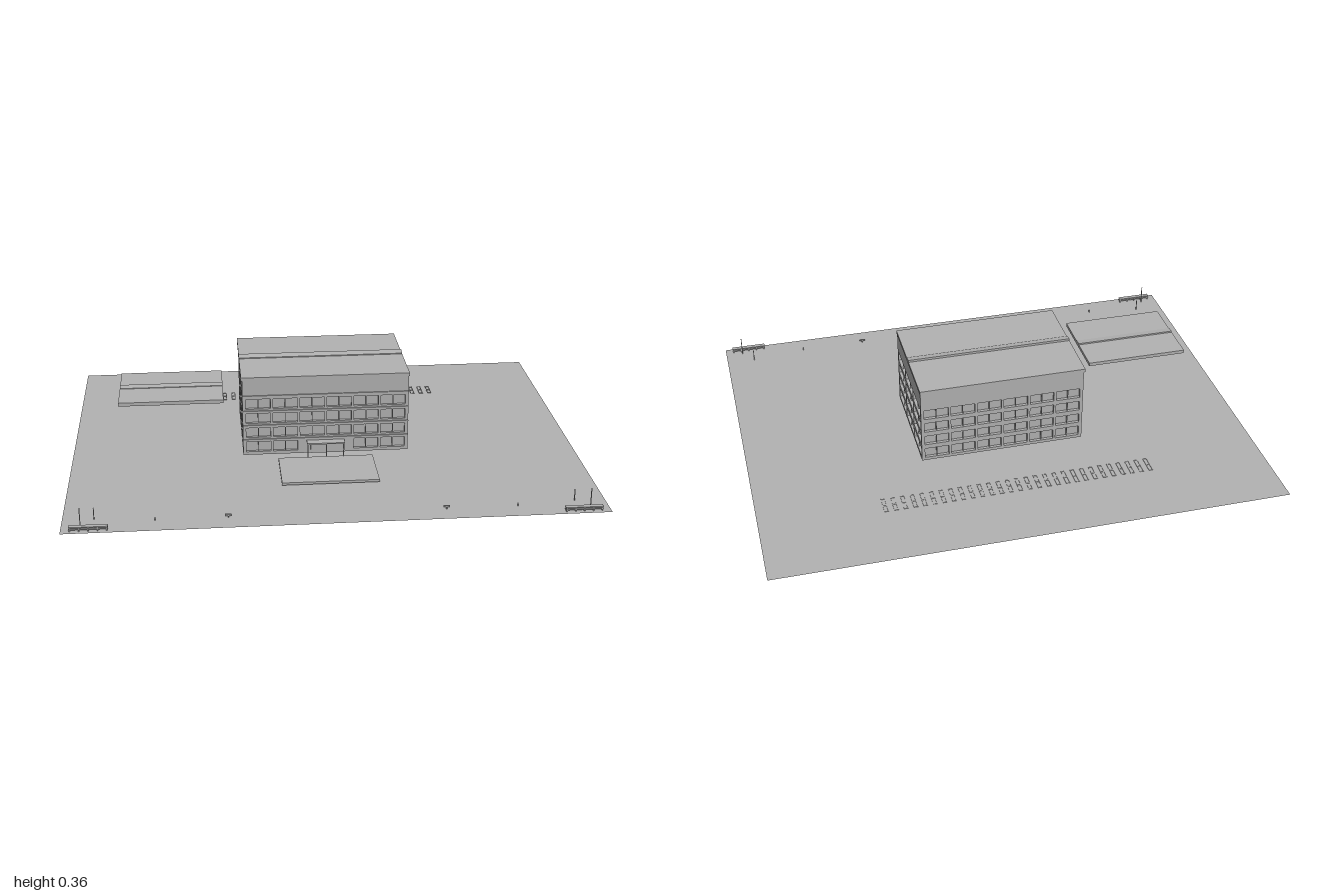
import * as THREE from 'three';

export function createModel() {
  const model = new THREE.Group();
  const mat = (name, color) => {
    const m = new THREE.MeshStandardMaterial({ color });
    m.name = name;
    return m;
  };
  const grey = mat('plain grey', 0xb2b2b2);
  const ground = grey.clone();
  ground.name = 'ground grey';
  ground.side = THREE.DoubleSide;

  const group = (name, parent = model) => {
    const g = new THREE.Group();
    g.name = name;
    parent.add(g);
    return g;
  };
  // box from its min and max corners
  const box = (parent, name, x0, x1, y0, y1, z0, z1) => {
    const mesh = new THREE.Mesh(new THREE.BoxGeometry(x1 - x0, y1 - y0, z1 - z0), grey);
    mesh.position.set((x0 + x1) / 2, (y0 + y1) / 2, (z0 + z1) / 2);
    mesh.name = name;
    parent.add(mesh);
    return mesh;
  };

  // ground sheet in long strips
  const site = group('site');
  const seams = [-1, -0.925, -0.545, -0.155, 0.155, 0.54, 0.925, 1];
  for (let i = 0; i < seams.length - 1; i++) {
    const strip = new THREE.Mesh(new THREE.PlaneGeometry(seams[i + 1] - seams[i], 1.565), ground);
    strip.rotation.x = -Math.PI / 2;
    strip.position.x = (seams[i] + seams[i + 1]) / 2;
    strip.name = 'groundStrip';
    site.add(strip);
  }

  // main block: four pierced walls around a recessed glass core
  const X = 0.327, Z0 = -0.252, Z1 = 0.203, BASE = 0.02, TOP = 0.333, T = 0.012;
  const building = group('building');
  box(building, 'glassCore', -X + T, X - T, BASE, TOP, Z0 + T, Z1 - T);

  const floors = [[0.033, 0.075], [0.094, 0.134], [0.154, 0.195], [0.214, 0.255]];
  const rect = (path, x0, x1, y0, y1) => {
    path.moveTo(x0, y0);
    path.lineTo(x1, y0);
    path.lineTo(x1, y1);
    path.lineTo(x0, y1);
    path.closePath();
    return path;
  };
  const wall = (name, width, bays, angle, x, z, entrance) => {
    const g = group(name, building);
    const shape = rect(new THREE.Shape(), -width / 2, width / 2, BASE, TOP);
    const pitch = (width - 0.016) / bays;
    floors.forEach(([y0, y1], f) => {
      for (let i = 0; i < bays; i++) {
        const x0 = -width / 2 + 0.008 + i * pitch + 0.005;
        const x1 = x0 + pitch - 0.01;
        if (entrance && f === 0 && x1 > -0.08 && x0 < 0.08) continue;
        shape.holes.push(rect(new THREE.Path(), x0, x1, y0, y1));
        // window mullion
        box(g, 'mullion', (x0 + x1) / 2 - 0.0015, (x0 + x1) / 2 + 0.0015, y0, y1, 0, T - 0.005);
      }
    });
    const mesh = new THREE.Mesh(
      new THREE.ExtrudeGeometry(shape, { depth: T, bevelEnabled: false }), grey);
    mesh.name = 'windowWall';
    g.add(mesh);
    g.rotation.y = angle;
    g.position.set(x, 0, z);
    return g;
  };
  const depth = Z1 - Z0, midZ = (Z0 + Z1) / 2;
  const front = wall('frontWall', 2 * X, 6, 0, 0, Z1 - T, true);
  wall('backWall', 2 * X, 6, Math.PI, 0, Z0 + T);
  wall('leftWall', depth, 3, Math.PI / 2, X - T, midZ);
  wall('rightWall', depth, 3, -Math.PI / 2, -X + T, midZ);

  // thin ledges between the front floors
  for (const y of [0.083, 0.143, 0.203, 0.267]) {
    box(front, 'ledge', -X, X, y, y + 0.004, T, T + 0.005);
  }

  // two roof slabs meeting at a raised, sloping strip
  const roof = (name, x0, x1, y0, y1, z0, z1, r0, r1, lift) => {
    const g = group(name);
    box(g, 'backSlab', x0, x1, y0, y1, z0, r0);
    box(g, 'frontSlab', x0, x1, y0, y1, r1, z1);
    const s = new THREE.Shape();
    s.moveTo(-r0, y0);
    s.lineTo(-r0, y1 + lift);
    s.lineTo(-r1, y1 + lift * 0.4);
    s.lineTo(-r1, y0);
    s.closePath();
    const ridge = new THREE.Mesh(
      new THREE.ExtrudeGeometry(s, { depth: x1 - x0, bevelEnabled: false }), grey);
    ridge.rotation.y = Math.PI / 2;
    ridge.position.x = x0;
    ridge.name = 'ridgeStrip';
    g.add(ridge);
  };
  roof('mainRoof', -0.331, 0.329, TOP, 0.347, -0.256, 0.206, -0.04, -0.008, 0.009);
  roof('sideCanopy', -0.805, -0.4, 0.251, 0.265, -0.1, 0.22, 0.043, 0.073, 0.006);

  // entrance porch and forecourt platform
  const porch = group('entrance');
  box(porch, 'porchRoof', -0.076, 0.073, 0.069, 0.074, Z1, 0.238);
  for (const x of [-0.074, 0, 0.068]) {
    box(porch, 'porchPost', x - 0.002, x + 0.002, 0.015, 0.069, 0.233, 0.237);
  }
  box(porch, 'doorway', -0.06, 0.06, 0.02, 0.06, Z1, Z1 + 0.003);
  box(porch, 'platform', -0.19, 0.183, 0.005, 0.015, 0.233, 0.463);

  // row of flat parking bays behind the building
  const parking = group('parkingRow');
  for (let i = 0; i < 29; i++) {
    const x = -0.543 + i * 0.0376;
    box(parking, 'bayLine', x, x + 0.003, 0.001, 0.003, -0.508, -0.43);
    box(parking, 'bayLine', x + 0.014, x + 0.017, 0.001, 0.003, -0.508, -0.43);
    for (const z of [-0.508, -0.472, -0.433]) {
      box(parking, 'bayBar', x + 0.003, x + 0.014, 0.001, 0.003, z, z + 0.003);
    }
  }

  // corner planters, poles and small kerb markers, mirrored
  for (const side of [-1, 1]) {
    const g = group(side > 0 ? 'leftCorner' : 'rightCorner');
    const at = (name, x, w, y0, y1, z, d) =>
      box(g, name, side * x - w / 2, side * x + w / 2, y0, y1, z - d / 2, z + d / 2);
    at('planterTop', 0.9, 0.14, 0.014, 0.018, 0.76, 0.018);
    for (let i = 0; i < 5; i++) at('planterPost', 0.834 + i * 0.033, 0.004, 0, 0.014, 0.76, 0.016);
    at('planterRail', 0.9, 0.14, 0.006, 0.009, 0.76, 0.014);
    at('tallPole', 0.93, 0.003, 0, 0.076, 0.735, 0.003);
    at('shortPole', 0.885, 0.003, 0, 0.046, 0.675, 0.003);
    at('kerbMarker', 0.4, 0.024, 0.008, 0.014, 0.703, 0.006);
    at('kerbFoot', 0.4, 0.004, 0, 0.008, 0.703, 0.004);
    at('stud', 0.665, 0.003, 0, 0.013, 0.703, 0.003);
  }

  return model;
}
